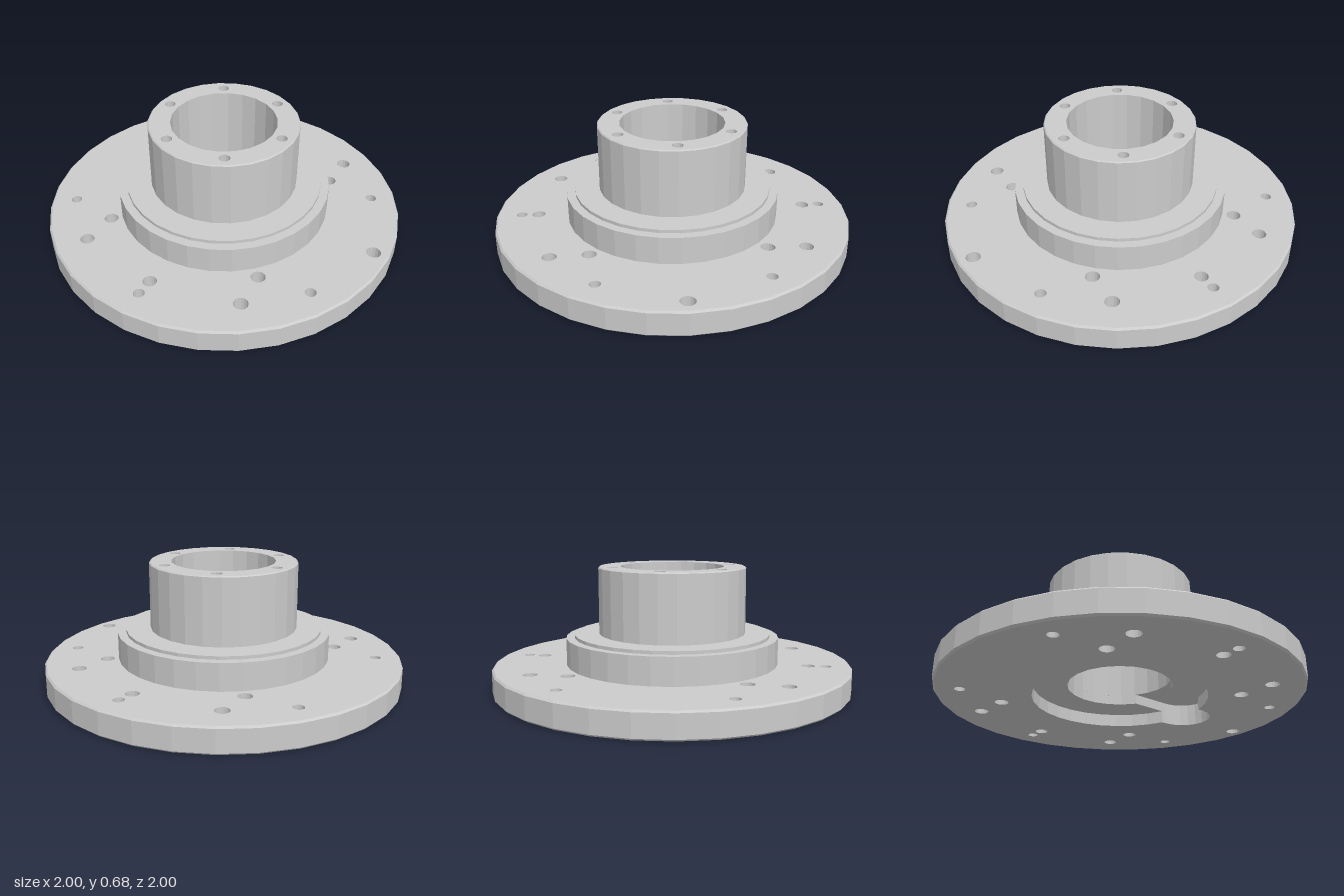
import * as THREE from 'three';

const material = new THREE.MeshStandardMaterial({ color: 0xcccccc, flatShading: true });
const BORE = 0.29;

// Closed outline of a polygonal circle
function circle(x, y, r, sides) {
  return Array.from({ length: sides }, (_, i) => {
    const a = (i / sides) * Math.PI * 2;
    return new THREE.Vector2(x + r * Math.cos(a), y + r * Math.sin(a));
  });
}

// Circle merged with a round-ended slot running out along +x
function slottedCircle(r, slotEnd, slotRadius, sides) {
  const points = [];
  const start = Math.asin(slotRadius / r);
  for (let i = 0; i <= sides; i++) {
    const a = start + (i / sides) * (Math.PI * 2 - 2 * start);
    points.push(new THREE.Vector2(r * Math.cos(a), r * Math.sin(a)));
  }
  for (let i = 0; i <= 10; i++) {
    const a = -Math.PI / 2 + (i / 10) * Math.PI;
    points.push(new THREE.Vector2(slotEnd + slotRadius * Math.cos(a), slotRadius * Math.sin(a)));
  }
  return points;
}

export function createModel() {
  const group = new THREE.Group();

  function add(name, geometry) {
    const mesh = new THREE.Mesh(geometry, material);
    mesh.name = name;
    group.add(mesh);
  }

  // Disc with holes between two heights
  function layer(name, radius, sides, y0, y1, holes) {
    const shape = new THREE.Shape(circle(0, 0, radius, sides));
    shape.holes = holes.map((points) => new THREE.Path(points));
    const geometry = new THREE.ExtrudeGeometry(shape, { depth: y1 - y0, bevelEnabled: false });
    geometry.rotateX(-Math.PI / 2).translate(0, y0, 0);
    add(name, geometry);
  }

  // Chamfered outer band; phase matches the extruded discs
  function band(name, radius, sides, y0, y1, chamferLow, chamferHigh) {
    const profile = [
      [radius - chamferLow, y0], [radius, y0 + chamferLow],
      [radius, y1 - chamferHigh], [radius - chamferHigh, y1],
    ].map(([x, y]) => new THREE.Vector2(x, y));
    add(name, new THREE.LatheGeometry(profile, sides, Math.PI / 2));
  }

  // Bolt and dowel holes through the flange
  const flangeHoles = [circle(0.915, 0, 0.04, 16)];
  for (const sz of [-1, 1]) {
    flangeHoles.push(circle(0, sz * 0.858, 0.03, 16), circle(0, sz * 0.763, 0.037, 16));
    for (const sx of [-1, 1]) {
      flangeHoles.push(
        circle(sx * 0.475, sz * 0.668, 0.039, 16),
        circle(sx * 0.465, sz * 0.465, 0.039, 16),
        circle(sx * 0.742, sz * 0.43, 0.03, 16),
      );
    }
  }

  // Flange: underside recess with a side slot, then slot into the bore, then plain bore
  const bore = circle(0, 0, BORE, 22);
  layer('flangeRecess', 0.99, 32, 0, 0.07, [slottedCircle(0.48, 0.49, 0.15, 28), ...flangeHoles]);
  layer('flangeSlot', 0.99, 32, 0.07, 0.125, [slottedCircle(BORE, 0.49, 0.15, 18), ...flangeHoles]);
  layer('flangeTop', 0.99, 32, 0.125, 0.14, [bore, ...flangeHoles]);
  band('flangeRim', 1, 32, 0, 0.14, 0.01, 0.01);

  // Stepped hub
  layer('hub', 0.595, 32, 0.14, 0.29, [bore]);
  layer('hubStep', 0.548, 32, 0.29, 0.308, [bore]);

  // Neck with a ring of six blind screw holes in its end
  const screwHoles = Array.from({ length: 6 }, (_, i) => {
    const a = (i * Math.PI) / 3;
    return circle(0.345 * Math.cos(a), 0.345 * Math.sin(a), 0.03, 14);
  });
  layer('neck', 0.406, 26, 0.308, 0.58, [bore]);
  layer('neckEnd', 0.406, 26, 0.58, 0.68, [bore, ...screwHoles]);
  band('neckSkin', 0.412, 26, 0.308, 0.68, 0, 0.006);

  return group;
}
